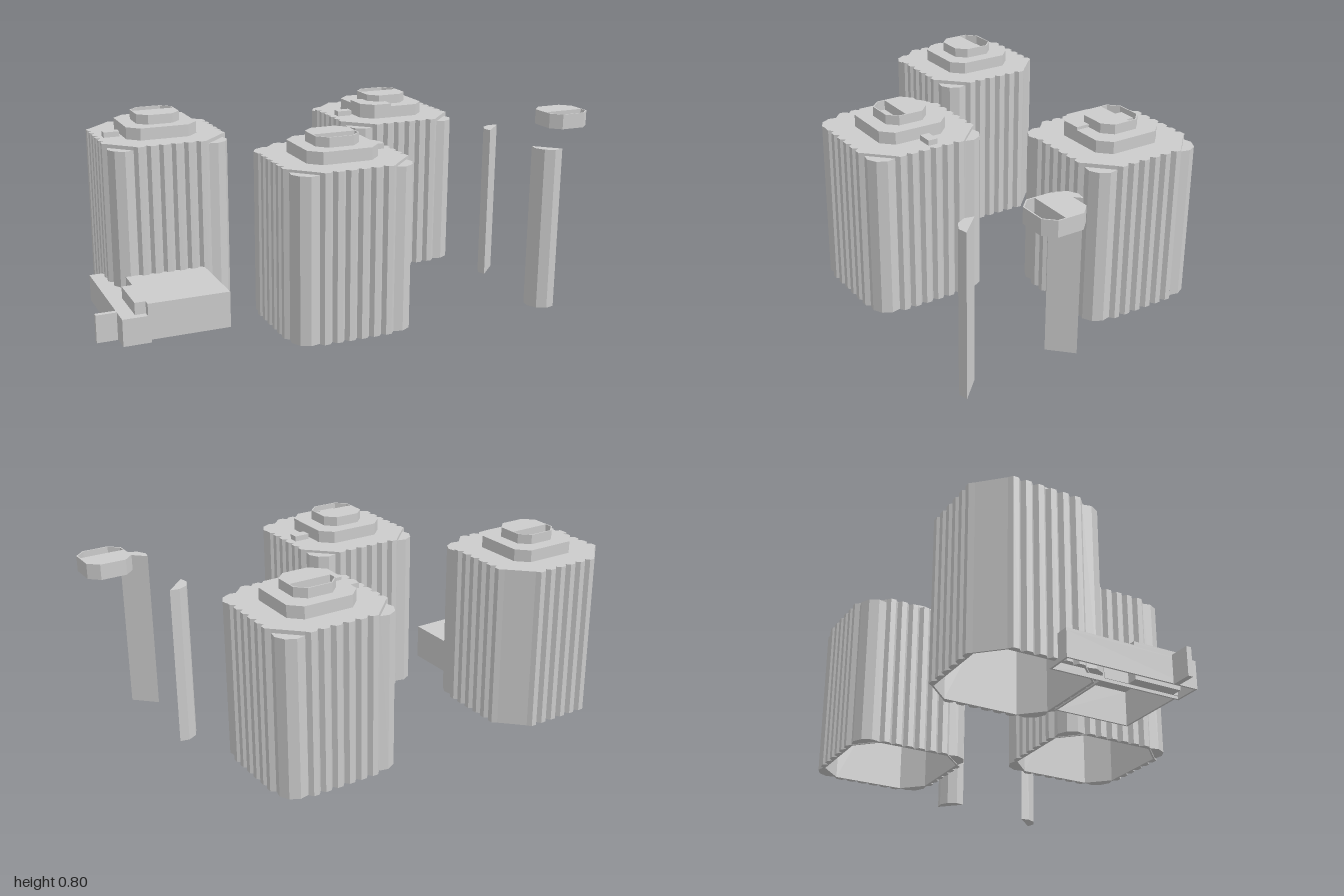
import * as THREE from 'three';

const TURN = -0.228;
const mat = new THREE.MeshStandardMaterial({ color: 0xcccccc, flatShading: true, side: THREE.DoubleSide });

// Upright prism from a plan outline of [x, z] points, optionally hollow
function prism(name, pts, y0, y1, hole) {
  const toV = (list) => list.map(([x, z]) => new THREE.Vector2(x, -z));
  const shape = new THREE.Shape(toV(pts));
  if (hole) shape.holes.push(new THREE.Path(toV(hole)));
  const geo = new THREE.ExtrudeGeometry(shape, { depth: y1 - y0, bevelEnabled: false });
  geo.rotateX(-Math.PI / 2);
  geo.translate(0, y0, 0);
  const mesh = new THREE.Mesh(geo, mat);
  mesh.name = name;
  return mesh;
}

const rect = (x0, x1, z0, z1) => [[x0, z0], [x1, z0], [x1, z1], [x0, z1]];

// Square of half width h with its corners cut back to c
const octagon = (h, c) => [
  [h, -c], [h, c], [c, h], [-c, h], [-h, c], [-h, -c], [-c, -h], [c, -h],
];

// Chamfered square plan with ribs along all four sides
function flutedPlan() {
  const pts = [], ribs = 6, half = 0.157, step = (2 * half) / ribs;
  const valley = 0.244, crest = 0.262;
  for (let side = 0; side < 4; side++) {
    const a = (side * Math.PI) / 2, c = Math.cos(a), s = Math.sin(a);
    const add = (d, t) => pts.push([d * c - t * s, d * s + t * c]);
    for (let i = 0; i < ribs; i++) {
      const t = -half + i * step;
      add(valley, t);
      add(crest, t + step * 0.3);
      add(crest, t + step * 0.75);
    }
    add(valley, half);
  }
  return pts;
}

// Rounded strip that covers one chamfered corner (sx, sz pick the corner)
function cornerStrip(sx, sz, y0, y1 = 0.69) {
  let pts = [[0.158, 0.245], [0.245, 0.158], [0.253, 0.195], [0.233, 0.233], [0.195, 0.253]];
  pts = pts.map(([x, z]) => [x * sx, z * sz]);
  return prism('cornerStrip', pts, y0, y1);
}

// Octagonal drum: one half roofed, the other half an open well
function rooftopDrum(y0, y1, withBox) {
  const g = new THREE.Group();
  g.name = 'rooftopDrum';
  g.add(prism('drumWall', octagon(0.092, 0.052), y0, y1, octagon(0.087, 0.05)));
  const roof = [[-0.02, -0.09], [0.052, -0.09], [0.09, -0.052], [0.09, 0.052], [0.052, 0.09], [-0.02, 0.09]];
  g.add(prism('drumRoof', roof, y1 - 0.005, y1));
  g.add(prism('drumDivider', rect(-0.02, -0.015, -0.088, 0.088), y0, y1));
  if (withBox) g.add(prism('wellBox', rect(-0.083, -0.045, -0.036, 0.036), y0, y0 + 0.02));
  return g;
}

function tower({ name, x, z, turn = 0, base, top, strips, box = true, raised = false }) {
  const g = new THREE.Group();
  g.name = name;
  const plan = flutedPlan();
  // hollow shaft and roof slab
  g.add(prism('shaft', plan, base, top - 0.01, octagon(0.238, 0.153)));
  g.add(prism('roofSlab', plan, top - 0.01, top));
  for (const [sx, sz] of strips) g.add(cornerStrip(sx, sz, base + 0.002, 0.69));
  // stepped roof
  g.add(prism('roofTier', octagon(0.15, 0.102), top, top + 0.05));
  if (raised) {
    const pts = [[0, 0.02], [0.15, 0.02], [0.15, 0.102], [0.102, 0.15], [0, 0.15]];
    g.add(prism('raisedTierCorner', pts, top + 0.05, top + 0.062));
  }
  g.add(rooftopDrum(top + 0.05, top + 0.09, box));
  g.add(prism('roofBox', rect(0, 0.04, 0.163, 0.228), top, top + 0.022));
  g.position.set(x, 0, z);
  g.rotation.y = TURN + turn;
  return g;
}

export function createModel() {
  const model = new THREE.Group();
  model.name = 'towerComplex';
  const all = [[1, 1], [1, -1], [-1, 1], [-1, -1]];

  model.add(tower({ name: 'backTower', x: -0.217, z: -0.538, base: 0.045, top: 0.705, strips: all, raised: true }));
  model.add(tower({ name: 'middleTower', x: 0.295, z: 0.13, turn: Math.PI, base: 0.02, top: 0.7, strips: all }));
  model.add(tower({
    name: 'frontTower', x: -0.455, z: 0.497, base: 0.02, top: 0.705,
    strips: [[1, 1], [1, -1]], box: false,
  }));

  // Free-standing pieces: two corner strips and a drum
  const loose = new THREE.Group();
  loose.name = 'separatePieces';
  loose.add(cornerStrip(1, 1, 0.015), cornerStrip(-1, 1, 0.035));
  const drum = rooftopDrum(0.728, 0.79, true);
  drum.rotation.y = Math.PI;
  loose.add(drum);
  loose.position.set(0.54, 0, -0.902);
  loose.rotation.y = TURN;
  model.add(loose);

  // Low podium beside the front tower, hollow underneath
  const podium = new THREE.Group();
  podium.name = 'podium';
  const hall = [[0.25, -0.12], [0.58, -0.12], [0.58, 0.216], [0.55, 0.216], [0.55, 0.26],
    [0.353, 0.26], [0.353, 0.216], [0.25, 0.216]];
  podium.add(prism('hallWalls', hall, 0.015, 0.155, rect(0.258, 0.572, -0.112, 0.208)));
  podium.add(prism('hallRoof', hall, 0.155, 0.165));
  const terrace = rect(0.03, 0.58, 0.205, 0.318);
  podium.add(prism('terraceWalls', terrace, 0.003, 0.105, rect(0.038, 0.572, 0.213, 0.31)));
  podium.add(prism('terraceRoof', terrace, 0.105, 0.115));
  podium.add(prism('frontFin', rect(0.475, 0.496, 0.318, 0.402), 0, 0.115));
  podium.position.set(-0.455, 0, 0.497);
  podium.rotation.y = TURN;
  model.add(podium);

  return model;
}
